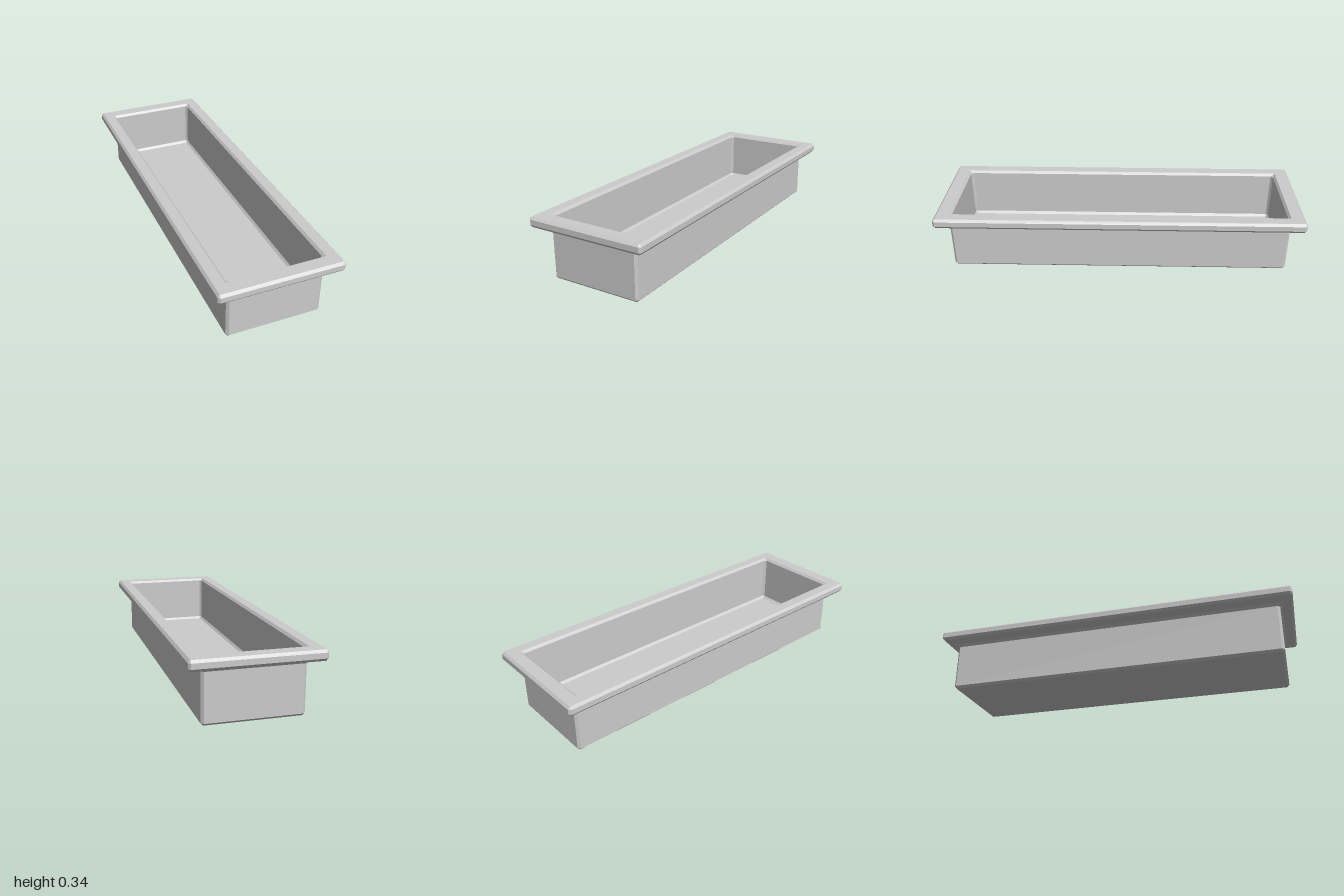
import * as THREE from 'three';

// Rectangle ring at height y with half sizes hx, hz and corner chamfer c
function ring([hx, hz, y, c]) {
  return [
    [hx, hz - c], [hx - c, hz], [c - hx, hz], [-hx, hz - c],
    [-hx, c - hz], [c - hx, -hz], [hx - c, -hz], [hx, c - hz],
  ].map(([x, z]) => new THREE.Vector3(x, y, z));
}

// Skin consecutive rings, optionally capping the first (facing down) or last (facing up)
function loft(name, sections, { capStart = false, capEnd = false } = {}) {
  const rings = sections.map(ring);
  const pos = [];
  const tri = (a, b, c) => {
    const area = b.clone().sub(a).cross(c.clone().sub(a)).length();
    if (area > 1e-9) for (const p of [a, b, c]) pos.push(p.x, p.y, p.z);
  };
  for (let i = 0; i < rings.length - 1; i++) {
    const lo = rings[i], hi = rings[i + 1];
    for (let j = 0; j < 8; j++) {
      const k = (j + 1) % 8;
      tri(lo[j], hi[j], lo[k]);
      tri(lo[k], hi[j], hi[k]);
    }
  }
  const first = rings[0], last = rings[rings.length - 1];
  for (let j = 1; j < 7; j++) {
    if (capStart) tri(first[0], first[j], first[j + 1]);
    if (capEnd) tri(last[0], last[j + 1], last[j]);
  }
  const geo = new THREE.BufferGeometry();
  geo.setAttribute('position', new THREE.Float32BufferAttribute(pos, 3));
  geo.computeVertexNormals();
  const mesh = new THREE.Mesh(geo, new THREE.MeshStandardMaterial({ color: 0xcccccc, flatShading: true }));
  mesh.name = name;
  return mesh;
}

export function createModel() {
  const group = new THREE.Group();
  group.name = 'trough';

  // Sections are [half width, half length, height, corner chamfer]
  const neck = [0.255, 0.93, 0.26, 0.013];
  const lip = [0.262, 0.922, 0.338, 0];

  // Outer walls and underside with bevelled edges
  group.add(loft('outerBasin', [
    [0.242, 0.917, 0, 0],
    [0.255, 0.93, 0.013, 0.013],
    neck,
  ], { capStart: true }));

  // Overhanging rim: flared underside, bevelled edge and flat top
  group.add(loft('rim', [
    neck,
    [0.268, 0.943, 0.274, 0],
    [0.318, 0.988, 0.283, 0],
    [0.33, 1, 0.297, 0.012],
    [0.33, 1, 0.325, 0.012],
    [0.318, 0.988, 0.338, 0],
    lip,
  ]));

  // Hollow inside with bevelled lip, corners and floor edge
  group.add(loft('innerBasin', [
    lip,
    [0.25, 0.91, 0.325, 0.012],
    [0.25, 0.91, 0.063, 0.012],
    [0.238, 0.897, 0.05, 0],
  ], { capEnd: true }));

  return group;
}
